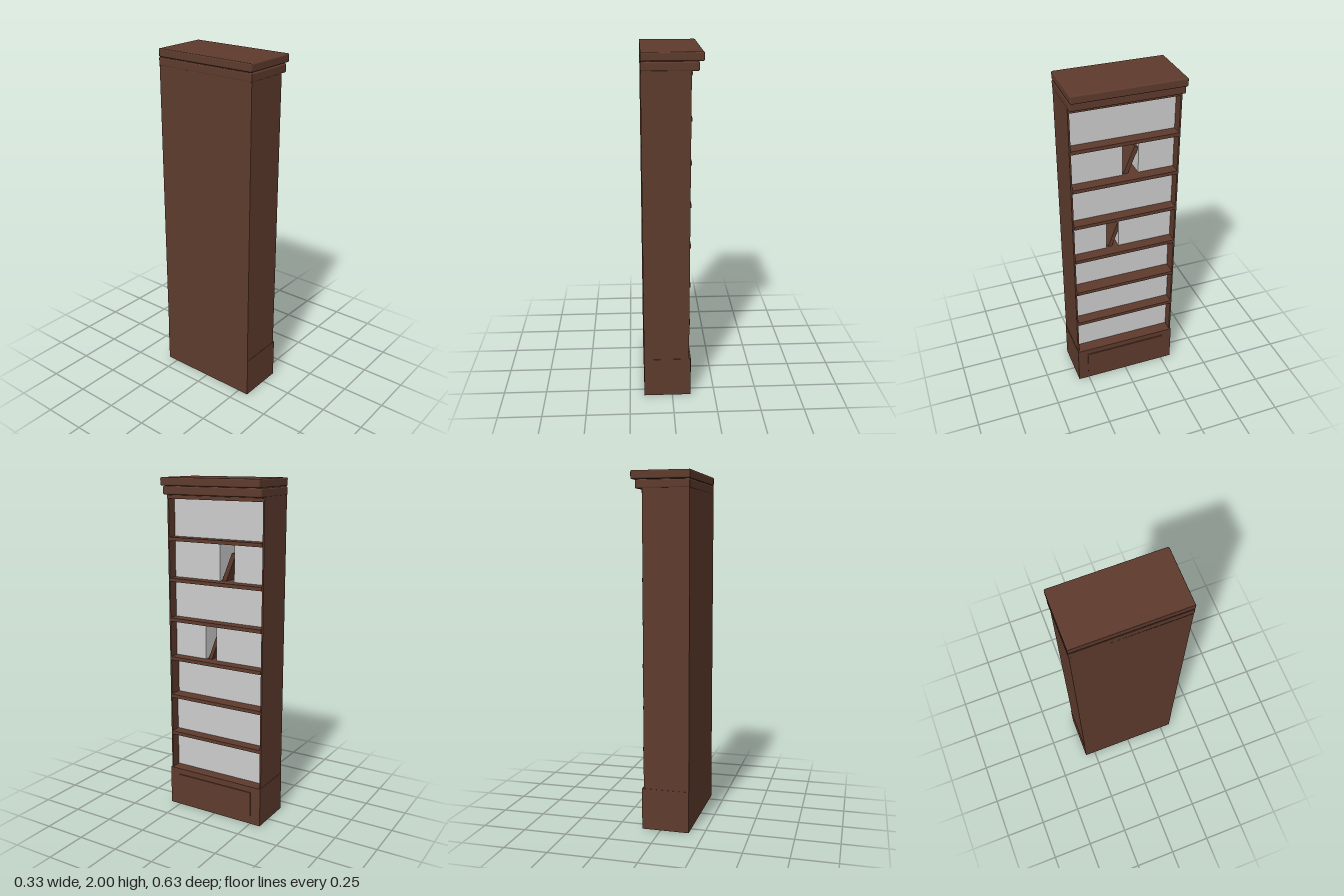
import * as THREE from 'three';
import { RoundedBoxGeometry } from 'three/addons/geometries/RoundedBoxGeometry.js';

export function createModel() {
  const model = new THREE.Group();
  model.name = 'bookcase';
  const wood = new THREE.MeshStandardMaterial({ color: 0x5e3b2d });
  wood.name = 'brown wood';
  const paper = new THREE.MeshStandardMaterial({ color: 0xcccccc });
  paper.name = 'light grey';

  const add = (name, geometry, material) => {
    const mesh = new THREE.Mesh(geometry, material);
    mesh.name = name;
    model.add(mesh);
    return mesh;
  };
  // Box given by its limits on each axis
  const box = (name, [x0, x1], [y0, y1], [z0, z1], material = wood) => {
    const mesh = add(name, new THREE.BoxGeometry(x1 - x0, y1 - y0, z1 - z0), material);
    mesh.position.set((x0 + x1) / 2, (y0 + y1) / 2, (z0 + z1) / 2);
    return mesh;
  };

  const back = -0.165, front = 0.097, half = 0.313, inner = 0.304;

  // Carcass, open towards +x
  box('backPanel', [back, -0.15], [0.02, 1.91], [-inner, inner]);
  for (const s of [-1, 1]) {
    const z = [s * half, s * inner].sort((a, b) => a - b);
    box(s > 0 ? 'leftSide' : 'rightSide', [back, front], [0.02, 1.91], z);
  }

  // Plinth with a raised panel
  box('plinth', [back, 0.107], [0, 0.238], [-0.315, 0.315]);
  box('plinthPanel', [0.1, 0.113], [0.052, 0.202], [-0.253, 0.253]);

  // Shelves and the rows of books between them, from the top down
  const pitch = 0.2373, thick = 0.021;
  const gaps = { 1: [-0.095, -0.002], 3: [0.022, 0.095] };
  for (let i = 0; i < 7; i++) {
    const y = 1.88 - i * pitch;
    box('shelf', [-0.15, 0.102], [y, y + thick], [-inner, inner]);
    const rowY = [i === 6 ? 0.237 : y - pitch + thick, y];
    const rowX = [-0.15, i === 4 ? 0.022 : 0.038];
    if (gaps[i]) {
      box('bookRow', rowX, rowY, [-inner, gaps[i][0]], paper);
      box('bookRow', rowX, rowY, [gaps[i][1], inner], paper);
    } else box('bookRow', rowX, rowY, [-inner, inner], paper);
  }

  // Leaning books in the two gaps
  const lean = (y, z, thickness, length, angle) => {
    const pivot = new THREE.Group();
    pivot.name = 'leaningBook';
    pivot.position.set(-0.06, y, z);
    pivot.rotation.x = -angle;
    const book = new THREE.Mesh(new THREE.BoxGeometry(0.18, length, thickness), wood);
    book.name = 'bookCover';
    book.position.set(0, length / 2 - 0.008, -thickness / 2);
    pivot.add(book);
    model.add(pivot);
  };
  lean(1.422, -0.008, 0.026, 0.188, 0.38);
  lean(0.952, 0.083, 0.022, 0.175, 0.36);

  // Two cornice slabs, rounded at the front and sides, flat at the back
  const slab = (name, x1, y0, y1) => {
    const w = x1 - back, r = 0.008;
    const g = new RoundedBoxGeometry(w, y1 - y0, 0.63, 3, r);
    const p = g.attributes.position;
    for (let i = 0; i < p.count; i++) if (p.getX(i) < 0) p.setX(i, -w / 2);
    add(name, g, wood).position.set((back + x1) / 2, (y0 + y1) / 2, 0);
  };
  slab('lowerCornice', 0.138, 1.904, 1.952);
  slab('upperCornice', 0.163, 1.954, 2.0);

  return model;
}
